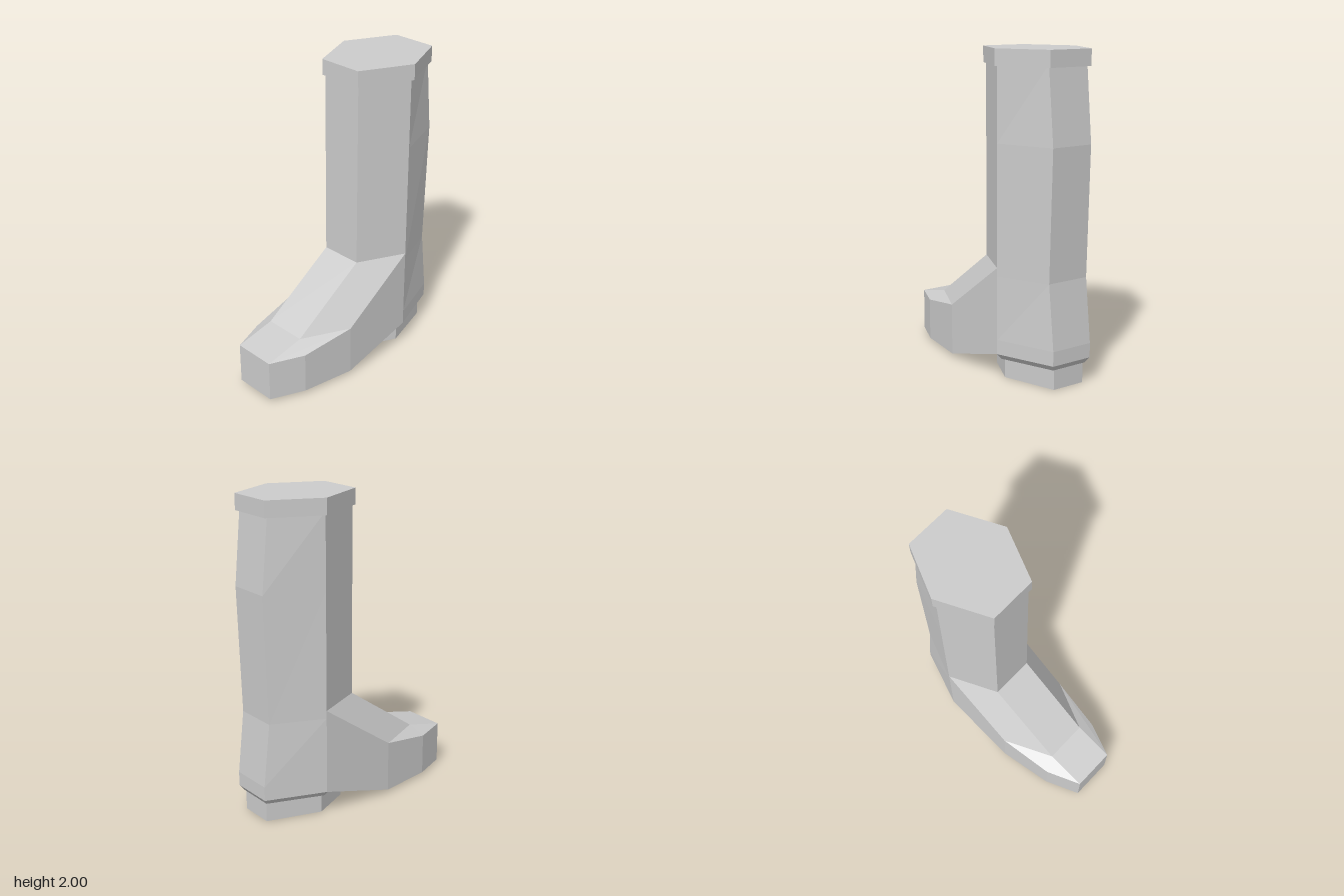
import * as THREE from 'three';

const material = new THREE.MeshStandardMaterial({ color: 0xcccccc, flatShading: true });

// Skin matching loops of points; each end is closed with strips across the loop.
function loft(name, loops) {
  const pos = [];
  const quad = (a, b, c, d) => pos.push(...a, ...b, ...c, ...a, ...c, ...d);
  const n = loops[0].length;
  for (let k = 0; k < loops.length - 1; k++) {
    const p = loops[k], q = loops[k + 1];
    for (let i = 0; i < n; i++) {
      const j = (i + 1) % n;
      quad(p[i], p[j], q[j], q[i]);
    }
  }
  const first = loops[0], last = loops[loops.length - 1];
  for (let i = 0; i < n / 2 - 1; i++) {
    quad(last[i], last[i + 1], last[n - 2 - i], last[n - 1 - i]);
    quad(first[n - 1 - i], first[n - 2 - i], first[i + 1], first[i]);
  }
  const geometry = new THREE.BufferGeometry();
  geometry.setAttribute('position', new THREE.Float32BufferAttribute(pos, 3));
  geometry.computeVertexNormals();
  const mesh = new THREE.Mesh(geometry, material);
  mesh.name = name;
  return mesh;
}

// Horizontal hexagon: flat front and back edges of half-width w, pointed sides at sideX.
const hexagon = (y, w, sideX, front, side, back) => [
  [-w, y, front], [w, y, front], [sideX, y, side],
  [w, y, back], [-w, y, back], [-sideX, y, side],
];

// Foot section: upper chain over the instep, then the sole chain, mirrored in x.
// Each corner is [x, y, z]: side and front of the top, then of the sole.
const footSection = (topSide, topFront, soleSide, soleFront) => {
  const mirror = ([x, y, z]) => [-x, y, z];
  return [topSide, topFront, mirror(topFront), mirror(topSide),
    mirror(soleSide), mirror(soleFront), soleFront, soleSide];
};

export function createModel() {
  const group = new THREE.Group();
  group.name = 'boot';

  // Shaft with calf bulge, ankle and bevelled heel seat: [y, back z]
  const shaftRings = [[0.16, -0.72], [0.25, -0.72], [0.65, -0.675], [1.45, -0.70], [1.92, -0.655]]
    .map(([y, back]) => hexagon(y, 0.14, 0.28, -0.04, -0.35, back));
  shaftRings.unshift(hexagon(0.125, 0.12, 0.25, -0.07, -0.35, -0.695));
  group.add(loft('shaft', shaftRings));

  // Collar around the top
  group.add(loft('collar', [1.9, 2].map((y) => hexagon(y, 0.15, 0.30, -0.025, -0.355, -0.68))));

  // Foot from ankle through instep to toe
  group.add(loft('foot', [
    footSection([0.28, 0.7, -0.35], [0.14, 0.7, -0.04], [0.28, 0.16, -0.35], [0.11, 0.085, -0.11]),
    footSection([0.28, 0.35, 0.15], [0.14, 0.35, 0.46], [0.28, 0.02, 0.15], [0.14, 0.02, 0.46]),
    footSection([0.23, 0.29, 0.5], [0.14, 0.29, 0.72], [0.23, 0.02, 0.5], [0.14, 0.02, 0.72]),
  ]));

  // Heel block
  group.add(loft('heel', [0, 0.13].map((y) => hexagon(y, 0.11, 0.22, -0.11, -0.35, -0.69))));

  return group;
}
